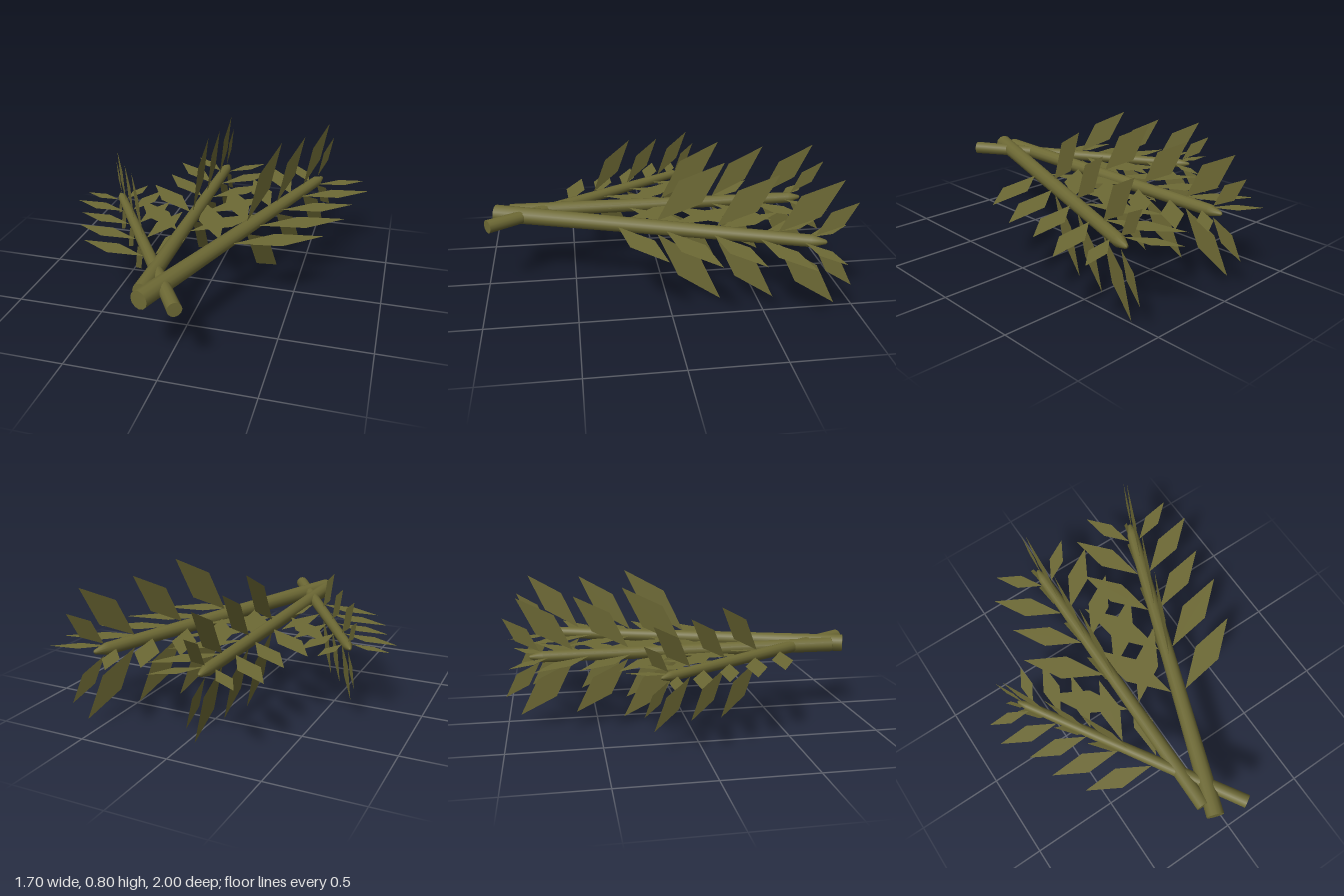
import * as THREE from 'three';

const stemMaterial = new THREE.MeshStandardMaterial({ color: 0x6e6a35 });
const leafMaterial = new THREE.MeshStandardMaterial({ color: 0x6e6a35, side: THREE.DoubleSide });

// Leaf stations as [fraction along the stem, leaf length / stem length]
const SIDE_LEAVES = [[0.395, 0.276], [0.54, 0.276], [0.68, 0.24], [0.812, 0.237], [0.938, 0.165]];
const UPRIGHT_LEAVES = [[0.508, 0.274], [0.685, 0.242], [0.861, 0.242], [0.966, 0.155]];

// Flat diamond leaf, base at the origin, pointing along +y
function leafGeometry(length, halfWidth) {
  const shape = new THREE.Shape();
  shape.moveTo(0, 0);
  shape.lineTo(halfWidth, length * 0.5);
  shape.lineTo(0, length);
  shape.lineTo(-halfWidth, length * 0.5);
  return new THREE.ShapeGeometry(shape);
}

// Stem running along +y with a flat foot and a short pointed tip
function stemGeometry(length, r0, r1) {
  const neck = length - r1 * 2.4;
  const body = new THREE.LatheGeometry([
    new THREE.Vector2(0, 0), new THREE.Vector2(r0, 0),
    new THREE.Vector2(r0, 0.001), new THREE.Vector2(r1, neck),
    new THREE.Vector2(r1 * 0.35, length - 0.008), new THREE.Vector2(0, length),
  ], 12);
  return body;
}

function createBranch(name, start, end, r0, r1) {
  const branch = new THREE.Group();
  branch.name = name;
  const direction = end.clone().sub(start);
  const length = direction.length();

  const stem = new THREE.Mesh(stemGeometry(length, r0, r1), stemMaterial);
  stem.name = 'stem';
  branch.add(stem);

  // One row of leaves, turned around the stem by the given angle
  const addRow = (rowName, stations, turn, widthRatio) => {
    const row = new THREE.Group();
    row.name = rowName;
    row.rotation.y = turn;
    for (const [t, size] of stations) {
      const leaf = new THREE.Mesh(leafGeometry(size * length, size * length * widthRatio), leafMaterial);
      leaf.name = 'leaf';
      leaf.position.set(THREE.MathUtils.lerp(r0, r1, t) * 0.95, t * length, 0);
      leaf.rotation.z = -Math.PI / 4;
      row.add(leaf);
    }
    branch.add(row);
  };
  addRow('leftLeaves', SIDE_LEAVES, 0, 0.147);
  addRow('rightLeaves', SIDE_LEAVES, Math.PI, 0.147);
  addRow('upperLeaves', UPRIGHT_LEAVES, -Math.PI / 2, 0.17);
  addRow('lowerLeaves', UPRIGHT_LEAVES, Math.PI / 2, 0.17);

  // Lay the branch down: local y follows the stem, local z stays vertical
  const yAxis = direction.normalize();
  const zAxis = new THREE.Vector3(0, 1, 0);
  const xAxis = new THREE.Vector3().crossVectors(yAxis, zAxis);
  branch.quaternion.setFromRotationMatrix(new THREE.Matrix4().makeBasis(xAxis, yAxis, zAxis));
  branch.position.copy(start);
  return branch;
}

export function createModel() {
  const model = new THREE.Group();
  model.name = 'leafyBranches';
  const point = (x, z) => new THREE.Vector3(x, 0.405, z);
  model.add(
    createBranch('leftBranch', point(-0.1, 0.94), point(0.53, -0.82), 0.05, 0.034),
    createBranch('middleBranch', point(-0.12, 0.86), point(-0.115, -0.87), 0.042, 0.032),
    createBranch('rightBranch', point(0.09, 0.975), point(-0.65, -0.22), 0.038, 0.026),
  );
  return model;
}
